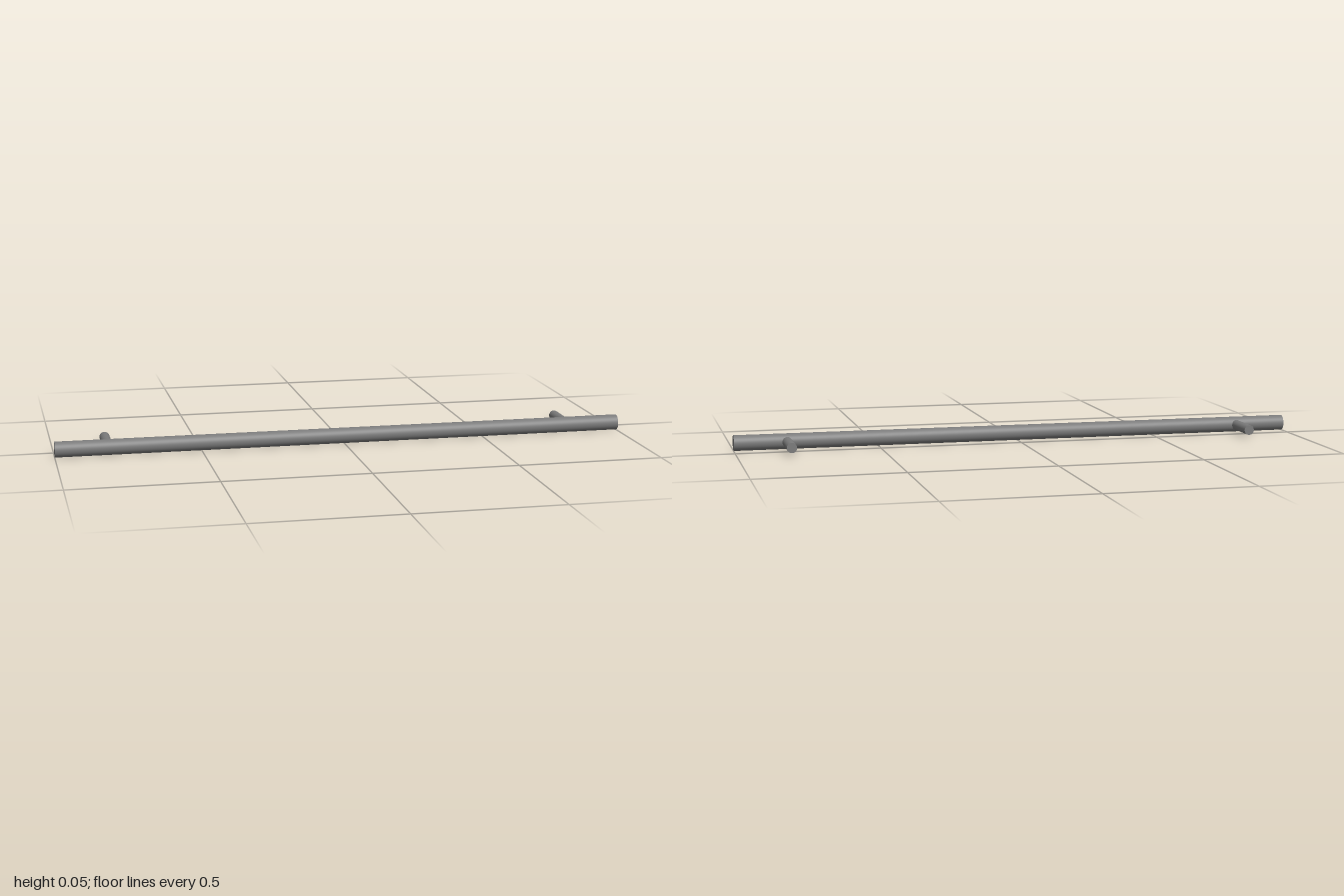
import * as THREE from 'three';

const BAR_RADIUS = 0.027;
const BAR_Z = 0.063;
const POST_RADIUS = 0.0175;
const POST_X = 0.818;
const BACK_Z = -0.09;

export function createModel() {
  const model = new THREE.Group();
  model.name = 'barHandle';
  const material = new THREE.MeshStandardMaterial({ color: 0x7b7b7b });

  // Long round grip bar along x
  const bar = new THREE.Mesh(
    new THREE.CylinderGeometry(BAR_RADIUS, BAR_RADIUS, 2, 48).rotateZ(Math.PI / 2),
    material
  );
  bar.name = 'gripBar';
  bar.position.set(0, BAR_RADIUS, BAR_Z);
  model.add(bar);

  // Two mounting posts, running back from the core of the bar
  const postLength = BAR_Z - BACK_Z;
  const postGeometry = new THREE.CylinderGeometry(POST_RADIUS, POST_RADIUS, postLength, 40)
    .rotateX(Math.PI / 2);
  for (const [name, side] of [['leftPost', 1], ['rightPost', -1]]) {
    const post = new THREE.Mesh(postGeometry, material);
    post.name = name;
    post.position.set(side * POST_X, BAR_RADIUS, BACK_Z + postLength / 2);
    model.add(post);
  }

  return model;
}
